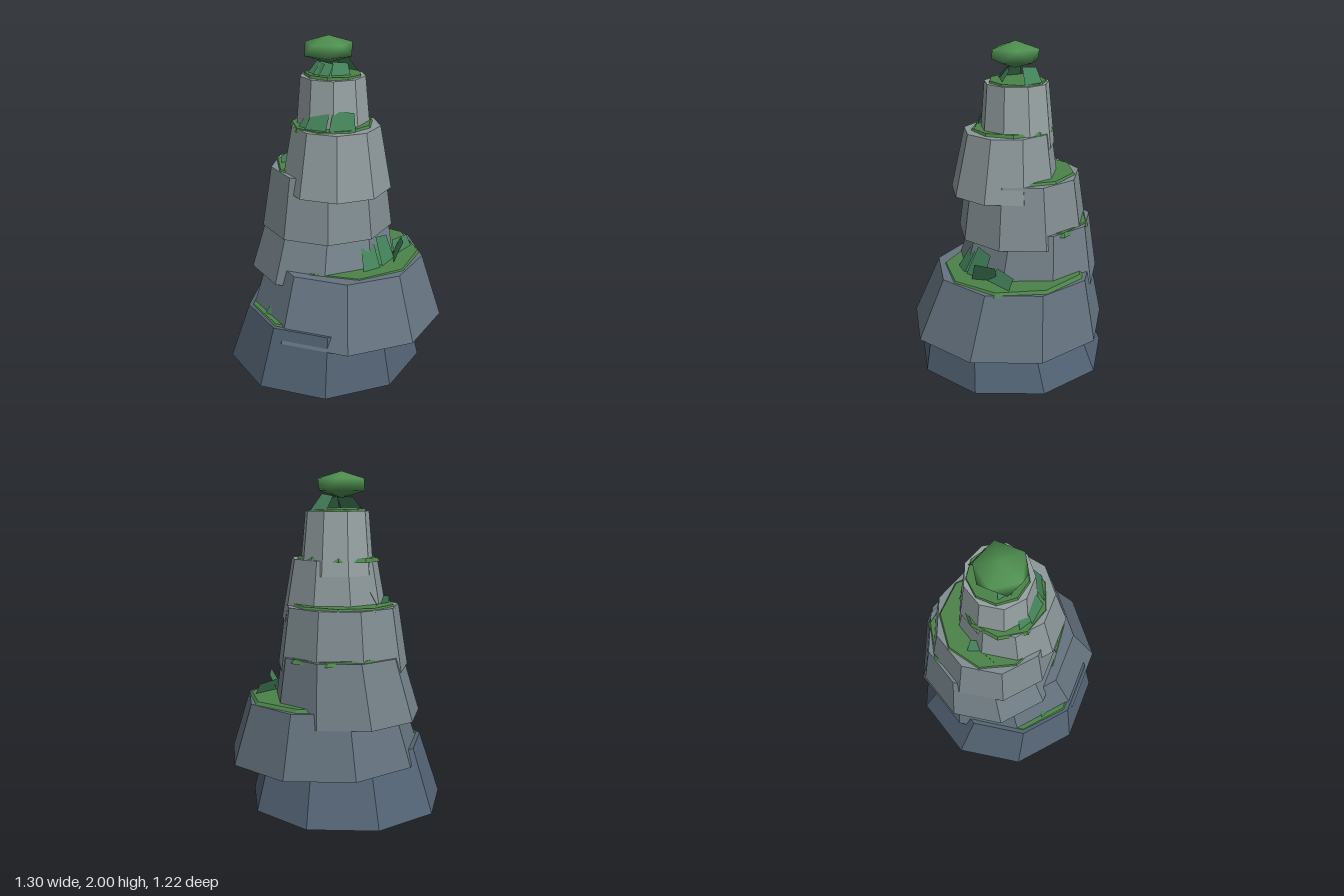
import * as THREE from 'three';
import { mergeVertices } from 'three/addons/utils/BufferGeometryUtils.js';

const SIDES = 9;
const TIER_HEIGHT = 0.37;

// Rock tiers from the ground up: base height, bottom ring [x, z, radius],
// top ring [x, z, radius] and the moss patch on top [x, z, radius]
const TIERS = [
  { y: 0.0, base: [-0.06, 0.03, 0.6], top: [-0.03, 0.065, 0.49], moss: [-0.05, 0.08, 0.46] },
  { y: 0.285, base: [0.06, -0.02, 0.6], top: [0.045, -0.06, 0.48], moss: [0.07, -0.075, 0.445] },
  { y: 0.567, base: [-0.1, -0.06, 0.45], top: [-0.085, -0.1, 0.365], moss: [-0.08, -0.12, 0.345] },
  { y: 0.85, base: [-0.07, -0.05, 0.4], top: [-0.065, -0.05, 0.345], moss: [-0.07, -0.05, 0.325] },
  { y: 1.12, base: [0.015, 0.025, 0.33], top: [0.01, 0.01, 0.262], moss: [-0.02, 0, 0.25] },
  { y: 1.4, base: [-0.025, -0.035, 0.225], top: [-0.025, -0.03, 0.192], moss: [-0.025, -0.035, 0.175] },
];

// Grass blades: root x, y, z, width, height, turn about y, lean
const BLADES = [
  [0.4, 0.64, -0.15, 0.2, 0.12, 1.25, -0.5],
  [0.35, 0.64, -0.04, 0.16, 0.16, 1.9, 0.45],
  [0.36, 0.64, 0.03, 0.15, 0.2, 1.35, -0.4],
  [0.33, 0.64, 0.1, 0.14, 0.21, 1.2, -0.55],
  [0.3, 0.64, 0.17, 0.12, 0.19, 0.9, -0.5],
  [-0.13, 1.47, 0.19, 0.12, 0.12, -0.5, -0.55],
  [-0.05, 1.47, 0.22, 0.14, 0.15, -0.1, -0.5],
  [0.11, 1.47, 0.19, 0.16, 0.15, 0.5, -0.45],
  [-0.12, 1.77, 0.06, 0.12, 0.1, -0.6, -0.6],
  [-0.06, 1.77, 0.09, 0.11, 0.11, -0.1, -0.7],
  [0.05, 1.77, 0.04, 0.12, 0.1, 0.7, -0.6],
  [0.03, 1.77, -0.18, 0.13, 0.12, 2.8, -0.6],
  [-0.31, 1.2, -0.06, 0.11, 0.12, -1.2, -0.5],
  [-0.3, 1.2, 0.03, 0.08, 0.08, -1.9, 0.2],
  [-0.28, 0.37, 0.4, 0.06, 0.06, -0.4, -0.5],
];

const mat = (color, extra = {}) =>
  new THREE.MeshStandardMaterial({ color, flatShading: true, ...extra });

function add(parent, name, geometry, material, x = 0, y = 0, z = 0) {
  const mesh = new THREE.Mesh(geometry, material);
  mesh.name = name;
  mesh.position.set(x, y, z);
  parent.add(mesh);
  return mesh;
}

// Tapered nine-sided drum with its first corner at 29 degrees
function drum(rTop, rBottom, height) {
  return new THREE.CylinderGeometry(rTop, rBottom, height, SIDES)
    .rotateY(THREE.MathUtils.degToRad(-19));
}

// Drum standing on y = 0 whose top ring is slid sideways from its base
function leaningDrum([bx, bz, r0], [tx, tz, r1]) {
  const geo = drum(r1, r0, TIER_HEIGHT).translate(0, TIER_HEIGHT / 2, 0);
  const p = geo.attributes.position;
  for (let i = 0; i < p.count; i++) {
    const f = p.getY(i) / TIER_HEIGHT;
    p.setX(i, p.getX(i) + bx + (tx - bx) * f);
    p.setZ(i, p.getZ(i) + bz + (tz - bz) * f);
  }
  return geo;
}

export function createModel() {
  const model = new THREE.Group();
  model.name = 'mossyRockTower';
  const mossMat = mat(0x4b8248);
  const bladeMat = mat(0x43815a, { side: THREE.DoubleSide });
  const low = new THREE.Color(0x536374);
  const high = new THREE.Color(0x97a2a3);

  TIERS.forEach(({ y, base, top, moss: [mx, mz, mr] }, i) => {
    const tier = new THREE.Group();
    tier.name = `tier${i + 1}`;
    model.add(tier);

    // Rock body, paler towards the summit
    const color = low.clone().lerp(high, i / (TIERS.length - 1));
    add(tier, 'rock', leaningDrum(base, top), mat(color), 0, y, 0);

    // Moss patch, slightly tilted and off-centre on the ledge
    const moss = add(tier, 'moss', drum(mr * 0.95, mr, 0.024), mossMat, mx, y + TIER_HEIGHT, mz);
    moss.rotation.set(0.02 * Math.sin(i * 2.1), 0.1 * i, 0.02 * Math.cos(i * 1.7));
  });

  // Leaning grass blades on the ledges
  const grass = new THREE.Group();
  grass.name = 'grass';
  model.add(grass);
  for (const [x, y, z, w, h, turn, lean] of BLADES) {
    const geo = new THREE.PlaneGeometry(w, h).translate(0, h / 2, 0);
    const p = geo.attributes.position;
    // Skew the upper edge so each blade is a lopsided leaf
    p.setX(0, p.getX(0) + w * 0.25);
    p.setY(1, p.getY(1) - h * 0.12);
    const blade = add(grass, 'blade', geo, bladeMat, x, y, z);
    blade.rotation.set(lean, turn, 0, 'YXZ');
  }

  // Squashed bush on the summit, smooth shaded, one corner straight up
  let bush = new THREE.IcosahedronGeometry(0.16, 0)
    .rotateZ(Math.atan(2 / (1 + Math.sqrt(5))))
    .scale(1, 0.49, 1);
  bush.deleteAttribute('normal');
  bush.deleteAttribute('uv');
  bush = mergeVertices(bush, 1e-4);
  bush.computeVertexNormals();
  add(model, 'bush', bush, mat(0x4f8f50, { flatShading: false }), -0.045, 1.9216, -0.01);

  return model;
}
